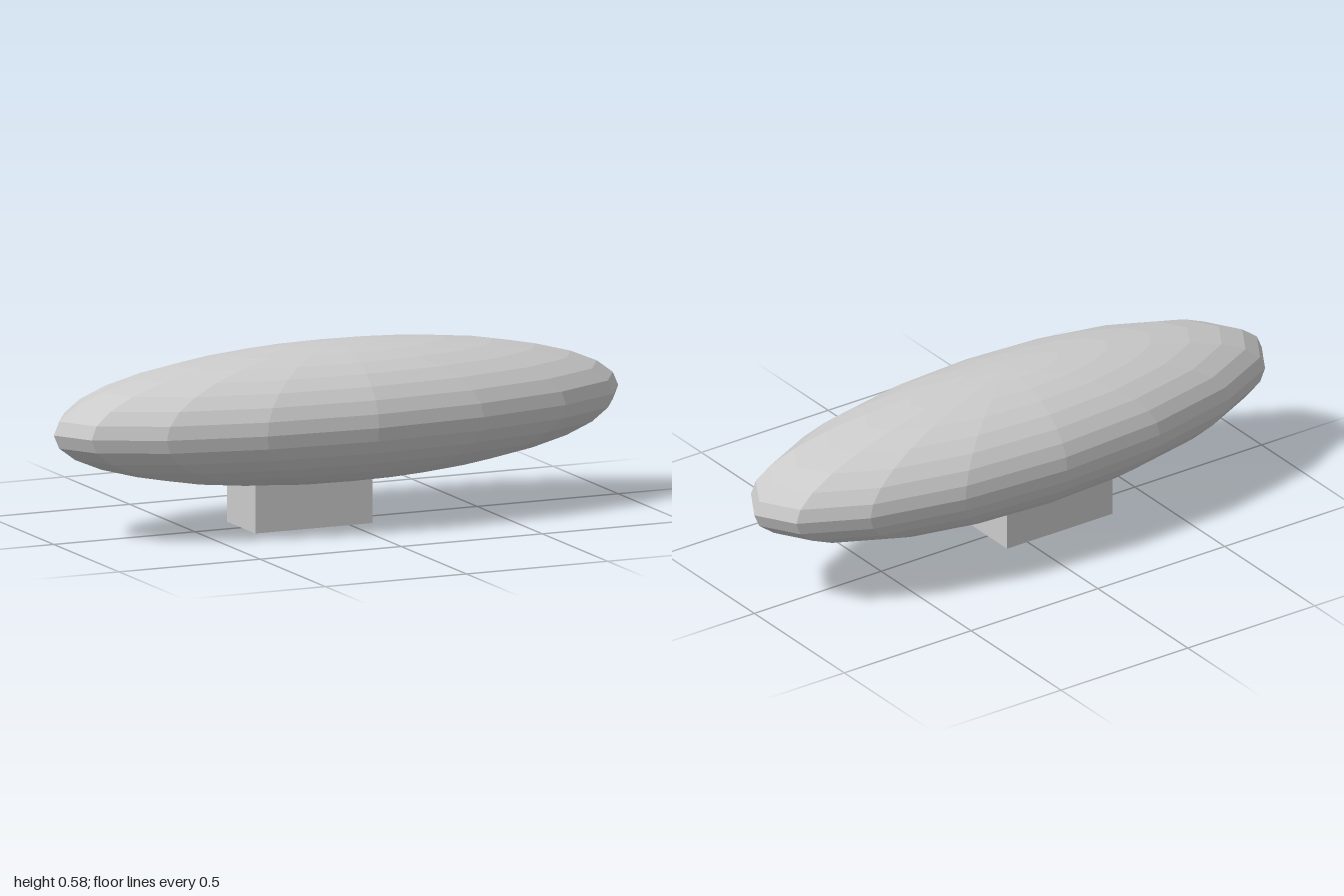
import * as THREE from 'three';

export function createModel() {
  const model = new THREE.Group();
  const material = new THREE.MeshStandardMaterial({ color: 0xcccccc, flatShading: true });

  // Faceted ellipsoid hull, poles at top and bottom
  const hull = new THREE.Mesh(new THREE.SphereGeometry(1, 16, 16).scale(1, 0.227, 0.33), material);
  hull.name = 'hull';
  hull.position.y = 0.357;
  model.add(hull);

  // Box cabin under the hull, set towards -x, its top sunk into the hull
  const cabin = new THREE.Mesh(new THREE.BoxGeometry(0.416, 0.21, 0.216), material);
  cabin.name = 'cabin';
  cabin.position.set(-0.128, 0.105, 0);
  model.add(cabin);

  return model;
}
